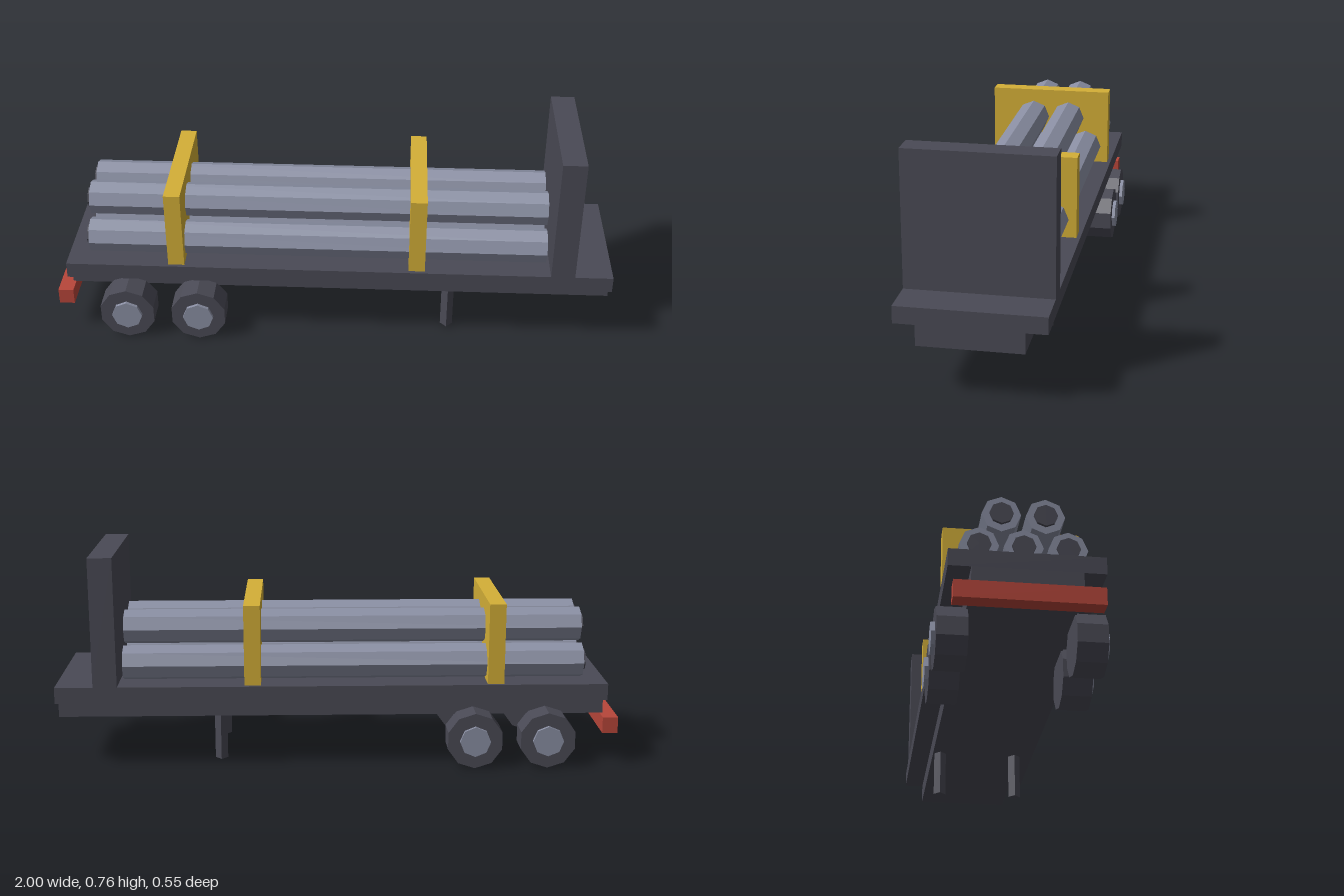
import * as THREE from 'three';

export function createModel() {
  const model = new THREE.Group();
  model.name = 'logTrailer';

  const material = (name, color) => {
    const m = new THREE.MeshStandardMaterial({ color, flatShading: true });
    m.name = name;
    return m;
  };
  const dark = material('darkSteel', 0x4a4a55);
  const grey = material('greySteel', 0x8a8fa3);
  const yellow = material('yellowPaint', 0xd4af37);
  const red = material('redPaint', 0xb8463a);

  const add = (name, geometry, mat, x, y, z) => {
    const mesh = new THREE.Mesh(geometry, mat);
    mesh.name = name;
    mesh.position.set(x, y, z);
    model.add(mesh);
    return mesh;
  };
  // Box given by its limits in x and y and its half width in z
  const slab = (name, mat, x0, x1, y0, y1, halfZ) =>
    add(name, new THREE.BoxGeometry(x1 - x0, y1 - y0, halfZ * 2), mat,
      (x0 + x1) / 2, (y0 + y1) / 2, 0);

  // Bed, chassis, headboard and rear bumper
  slab('deck', dark, -0.955, 1, 0.245, 0.303, 0.243);
  slab('chassis', dark, -0.955, 1, 0.175, 0.245, 0.172);
  slab('headboard', dark, 0.78, 0.865, 0.303, 0.765, 0.243);
  slab('rearBumper', red, -1, -0.945, 0.117, 0.175, 0.23);

  // Upright frames holding the load
  for (const x of [-0.558, 0.304]) {
    slab('loadFrame', yellow, x - 0.029, x + 0.029, 0.303, 0.592, 0.23);
  }

  // Stacked pipes: three below, two above, each with a dark rear cap
  const pipe = new THREE.CylinderGeometry(0.0625, 0.0625, 1.64, 8).rotateZ(Math.PI / 2);
  const cap = new THREE.CylinderGeometry(0.038, 0.038, 0.02, 8).rotateZ(Math.PI / 2);
  const stack = [[0.3675, -0.14], [0.3675, 0], [0.3675, 0.14], [0.4825, -0.07], [0.4825, 0.07]];
  for (const [y, z] of stack) {
    add('pipe', pipe, grey, -0.055, y, z);
    add('pipeCap', cap, dark, -0.875, y, z);
  }

  // Wheels with hubs, and the landing legs, mirrored on both sides
  const tyre = new THREE.CylinderGeometry(0.1015, 0.1015, 0.098, 10).rotateX(Math.PI / 2);
  const hub = new THREE.CylinderGeometry(0.055, 0.055, 0.03, 8).rotateX(Math.PI / 2);
  const leg = new THREE.CylinderGeometry(0.0225, 0.0225, 0.17, 4);
  for (const side of [-1, 1]) {
    for (const x of [-0.745, -0.485]) {
      add('tyre', tyre, dark, x, 0.1015, side * 0.216);
      add('hub', hub, grey, x, 0.1015, side * 0.262);
    }
    add('landingLeg', leg, dark, 0.4225, 0.094, side * 0.1445);
  }

  return model;
}
